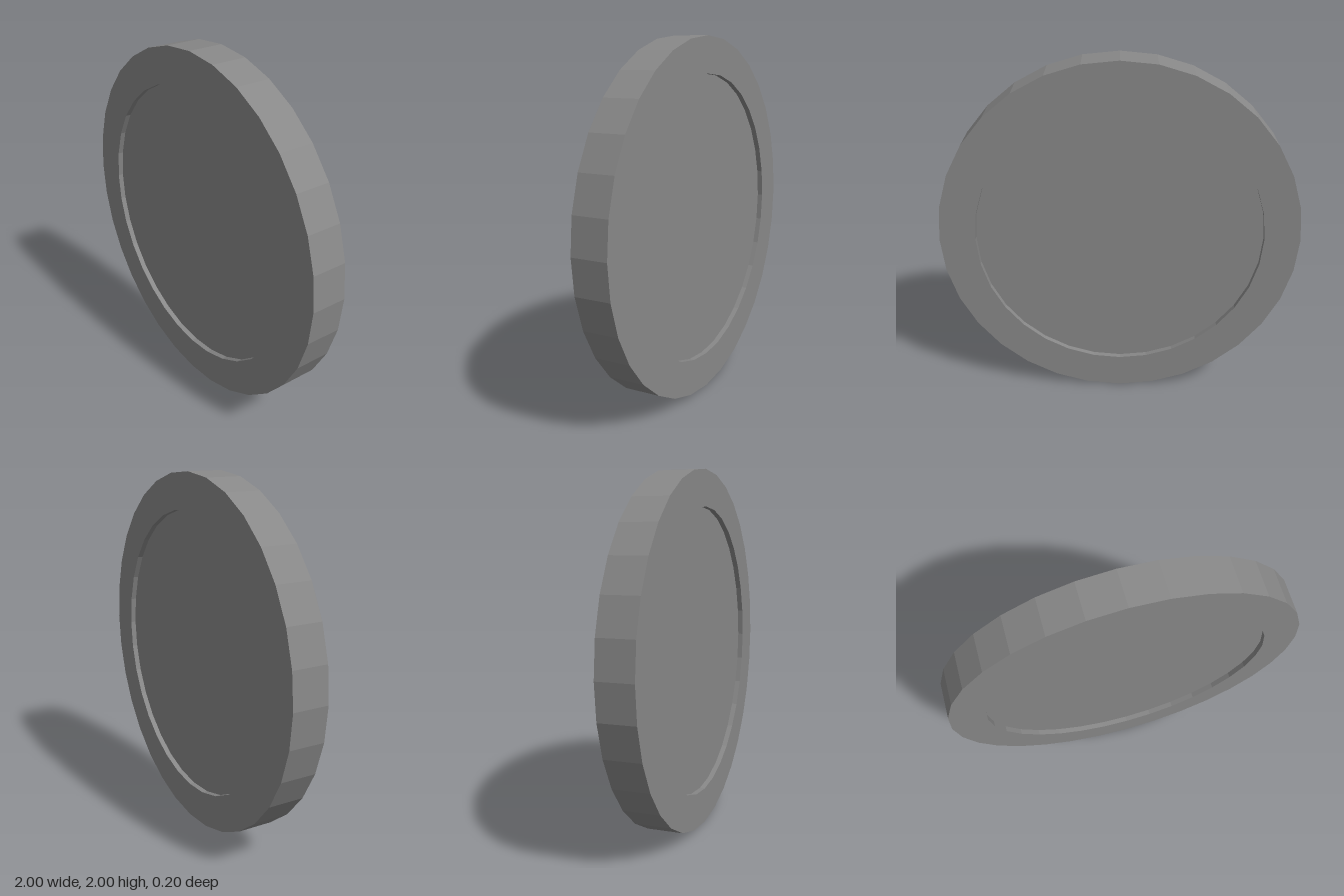
import * as THREE from 'three';

const SIDES = 32;
const OUTER = 1, INNER = 0.8; // rim radii
const HALF = 0.1, FACE = 0.07; // half thickness at the rim and at the sunken faces

export function createModel() {
  const group = new THREE.Group();
  group.name = 'coin';
  const material = new THREE.MeshStandardMaterial({ color: 0x888888, flatShading: true });

  const add = (name, geometry) => {
    const mesh = new THREE.Mesh(geometry, material);
    mesh.name = name;
    mesh.position.y = OUTER;
    group.add(mesh);
  };

  // Raised rim: outer edge, both flat rings and the short inner steps
  const profile = [
    [INNER, -FACE], [INNER, -HALF], [OUTER, -HALF],
    [OUTER, HALF], [INNER, HALF], [INNER, FACE],
  ].map(([r, h]) => new THREE.Vector2(r, h));
  add('rim', new THREE.LatheGeometry(profile, SIDES).rotateX(Math.PI / 2));

  // Sunken faces, front and back
  add('frontFace', new THREE.CircleGeometry(INNER, SIDES).translate(0, 0, FACE));
  add('backFace', new THREE.CircleGeometry(INNER, SIDES).rotateY(Math.PI).translate(0, 0, -FACE));

  return group;
}
